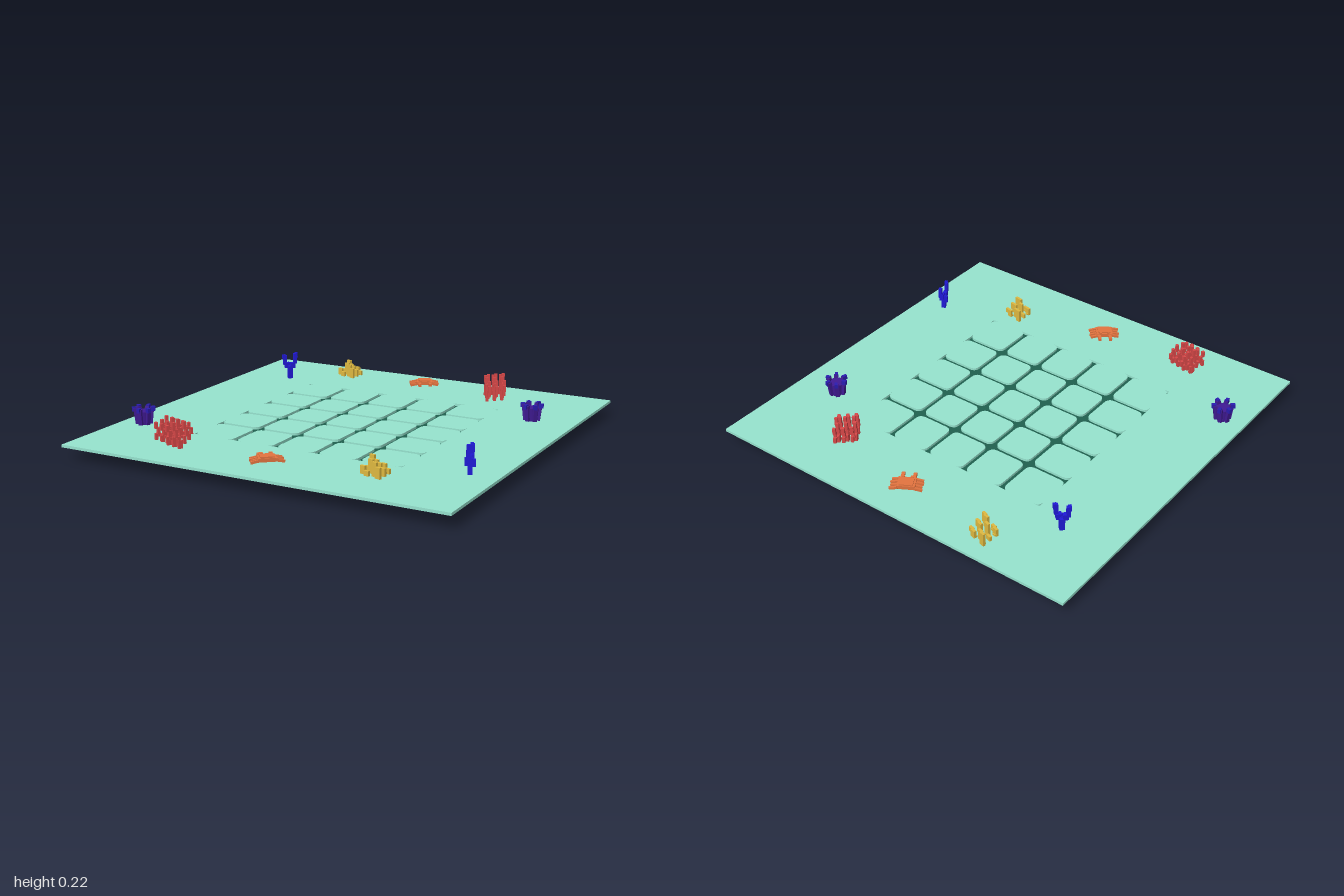
import * as THREE from 'three';

const mat = (name, color) => {
  const m = new THREE.MeshStandardMaterial({ color });
  m.name = name;
  return m;
};

const TOP = 0.076, BASE = 0.0625; // top and underside of the board

export function createModel() {
  const model = new THREE.Group();
  model.name = 'reefBoard';
  const seaGreen = mat('sea green', 0x95e2cd);
  const darkGreen = mat('dark green', 0x20604f);
  const orange = mat('crab orange', 0xe2733f);
  const yellow = mat('coral yellow', 0xdeb840);
  const red = mat('coral red', 0xd84848);
  const blue = mat('coral blue', 0x2019d8);
  const purple = mat('coral purple', 0x401a94);
  const indigo = mat('coral indigo', 0x2a1cb0);

  const group = (name, x, y, z, deg) => {
    const g = new THREE.Group();
    g.name = name;
    g.position.set(x, y, z);
    g.rotation.y = THREE.MathUtils.degToRad(deg);
    model.add(g);
    return g;
  };
  const box = (parent, name, m, w, h, d, x, y, z) => {
    const b = new THREE.Mesh(new THREE.BoxGeometry(w, h, d), m);
    b.name = name;
    b.position.set(x, y, z);
    parent.add(b);
    return b;
  };

  // Board: thin underside, dark groove floor, and a raised frame with tiles
  const edge = 0.555, step = 0.222, half = 0.0115, r = 0.036;
  box(model, 'underside', seaGreen, 2, 0.001, 2, 0, BASE + 0.0005, 0);
  box(model, 'grooveFloor', darkGreen, 2 * edge, 0.0004, 2 * edge, 0, BASE + 0.0012, 0);
  const square = (s) => [[-s, -s], [s, -s], [s, s], [-s, s]]
    .map(([x, y]) => new THREE.Vector2(x, y));
  const raise = (name, shape) => {
    const mesh = new THREE.Mesh(new THREE.ExtrudeGeometry(shape,
      { depth: TOP - BASE - 0.001, bevelEnabled: false, curveSegments: 5 }), seaGreen);
    mesh.name = name;
    mesh.rotation.x = -Math.PI / 2;
    mesh.position.y = BASE + 0.001;
    model.add(mesh);
  };
  const frame = new THREE.Shape(square(1));
  frame.holes.push(new THREE.Path(square(edge)));
  raise('frame', frame);

  // Round-cornered tiles; the gaps between them are the grid lines
  const span = (i) => [
    -edge + i * step + (i === 0 ? 0 : half),
    -edge + (i + 1) * step - (i === 4 ? 0 : half),
  ];
  for (let i = 0; i < 5; i++) {
    for (let j = 0; j < 5; j++) {
      const [x0, x1] = span(i), [y0, y1] = span(j);
      const tile = new THREE.Shape();
      tile.moveTo(x0 + r, y0);
      tile.lineTo(x1 - r, y0);
      tile.quadraticCurveTo(x1, y0, x1, y0 + r);
      tile.lineTo(x1, y1 - r);
      tile.quadraticCurveTo(x1, y1, x1 - r, y1);
      tile.lineTo(x0 + r, y1);
      tile.quadraticCurveTo(x0, y1, x0, y1 - r);
      tile.lineTo(x0, y0 + r);
      tile.quadraticCurveTo(x0, y0, x0 + r, y0);
      raise('tile', tile);
    }
  }

  // Crabs: flat body, four legs a side, two claws and two eyes
  const crab = (x, z, deg) => {
    const g = group('crab', x, TOP, z, deg);
    box(g, 'body', orange, 0.085, 0.018, 0.07, 0, 0.023, 0);
    box(g, 'shell', orange, 0.065, 0.008, 0.055, 0, 0.034, -0.003);
    for (const s of [-1, 1]) {
      for (let i = 0; i < 4; i++) {
        const leg = box(g, 'leg', orange, 0.04, 0.012, 0.011,
          s * (0.058 - 0.004 * (i % 2)), 0.018, -0.033 + i * 0.022);
        leg.rotation.z = -s * 0.2;
      }
      box(g, 'claw', orange, 0.016, 0.014, 0.042, s * 0.028, 0.022, 0.054);
      box(g, 'eye', orange, 0.012, 0.012, 0.012, s * 0.02, 0.035, 0.03);
    }
  };
  crab(0.01, -0.81, 30);
  crab(-0.005, 0.785, 220);

  // Yellow corals: staggered stems that pass through the board
  const tubeCoral = (x, z, deg) => {
    const g = group('tubeCoral', x, 0, z, deg);
    for (let i = 0; i < 4; i++) {
      for (let j = 0; j < 3; j++) {
        const k = (i * 5 + j * 3) % 4;
        const px = (i - 1.5) * 0.03 + (j - 1) * 0.007;
        const pz = (j - 1) * 0.038 + (i % 2) * 0.014 - 0.007;
        const low = 0.007 * k;
        box(g, 'stem', yellow, 0.017, 0.085 - low, 0.015,
          px, (0.085 + low) / 2, pz);
        const tip = 0.142 - 0.014 * k;
        box(g, 'tip', yellow, 0.026, tip - 0.07, 0.013,
          px * 1.1 + 0.004, (tip + 0.07) / 2, pz * 1.1);
      }
    }
  };
  tubeCoral(-0.47, -0.85, -15);
  tubeCoral(0.49, 0.69, -12);

  // Red corals: three parallel fans, each a net of staggered bars
  const fanCoral = (x, z, deg) => {
    const g = group('fanCoral', x, TOP, z, deg);
    for (let f = -1; f <= 1; f++) {
      const pz = f * 0.04;
      const shiftX = f * 0.01;
      box(g, 'fanStem', red, 0.022, 0.04, 0.014, shiftX, 0.02, pz);
      for (let i = -2; i <= 2; i++) {
        const px = i * 0.027 + shiftX;
        const sway = (Math.abs(i) % 2 ? 1 : -1) * 0.005;
        const lo = 0.012 + Math.abs(i) * 0.012;
        const len = (0.14 - Math.abs(i) * 0.012 - lo) / 3;
        for (let k = 0; k < 3; k++) {
          box(g, 'fanBar', red, 0.014, len + 0.004, 0.015,
            px + (k % 2 ? 0.006 : -0.006), lo + (k + 0.5) * len, pz + sway);
        }
        if (i < 2) {
          box(g, 'fanLink', red, 0.022, 0.012, 0.013,
            px + 0.0135, i % 2 ? 0.095 : 0.055, pz);
        }
      }
    }
  };
  fanCoral(-0.515, 0.775, 60);
  fanCoral(0.465, -0.71, -60);

  // Blue corals: a trunk that forks into stepped prongs
  const forkCoral = (x, z, deg) => {
    const g = group('forkCoral', x, TOP, z, deg);
    box(g, 'trunk', blue, 0.024, 0.075, 0.022, 0, 0.0375, 0);
    for (const s of [-1, 1]) {
      box(g, 'branch', blue, 0.026, 0.03, 0.022, s * 0.014, 0.074, s * 0.006);
      box(g, 'prong', blue, 0.017, 0.055, 0.018,
        s * 0.026, s > 0 ? 0.112 : 0.103, s * 0.01);
      box(g, 'prongTip', blue, 0.014, 0.028, 0.016,
        s * 0.033, s > 0 ? 0.131 : 0.12, s * 0.008);
      box(g, 'sideTwig', blue, 0.016, 0.035, 0.016, s * -0.008, 0.055, s * 0.016);
    }
  };
  forkCoral(-0.725, -0.62, 50);
  forkCoral(0.86, 0.5, -65);

  // Purple corals: a flared cup ringed by leaning fingers
  const cupCoral = (x, z, deg) => {
    const g = group('cupCoral', x, TOP, z, deg);
    const cup = new THREE.Mesh(
      new THREE.CylinderGeometry(0.039, 0.033, 0.065, 6), purple);
    cup.name = 'cup';
    cup.position.y = 0.0325;
    g.add(cup);
    for (let i = 0; i < 6; i++) {
      const arm = new THREE.Group();
      arm.name = 'finger';
      arm.rotation.y = i * Math.PI / 3;
      g.add(arm);
      const stem = box(arm, 'fingerStem', purple, 0.018, 0.08, 0.02, 0.037, 0.04, 0);
      stem.rotation.z = -0.12;
      box(arm, 'fingerTip', indigo, 0.022, 0.022, 0.016, 0.046, 0.075, 0.003);
    }
  };
  cupCoral(0.775, -0.45, 15);
  cupCoral(-0.88, 0.52, 40);

  return model;
}
